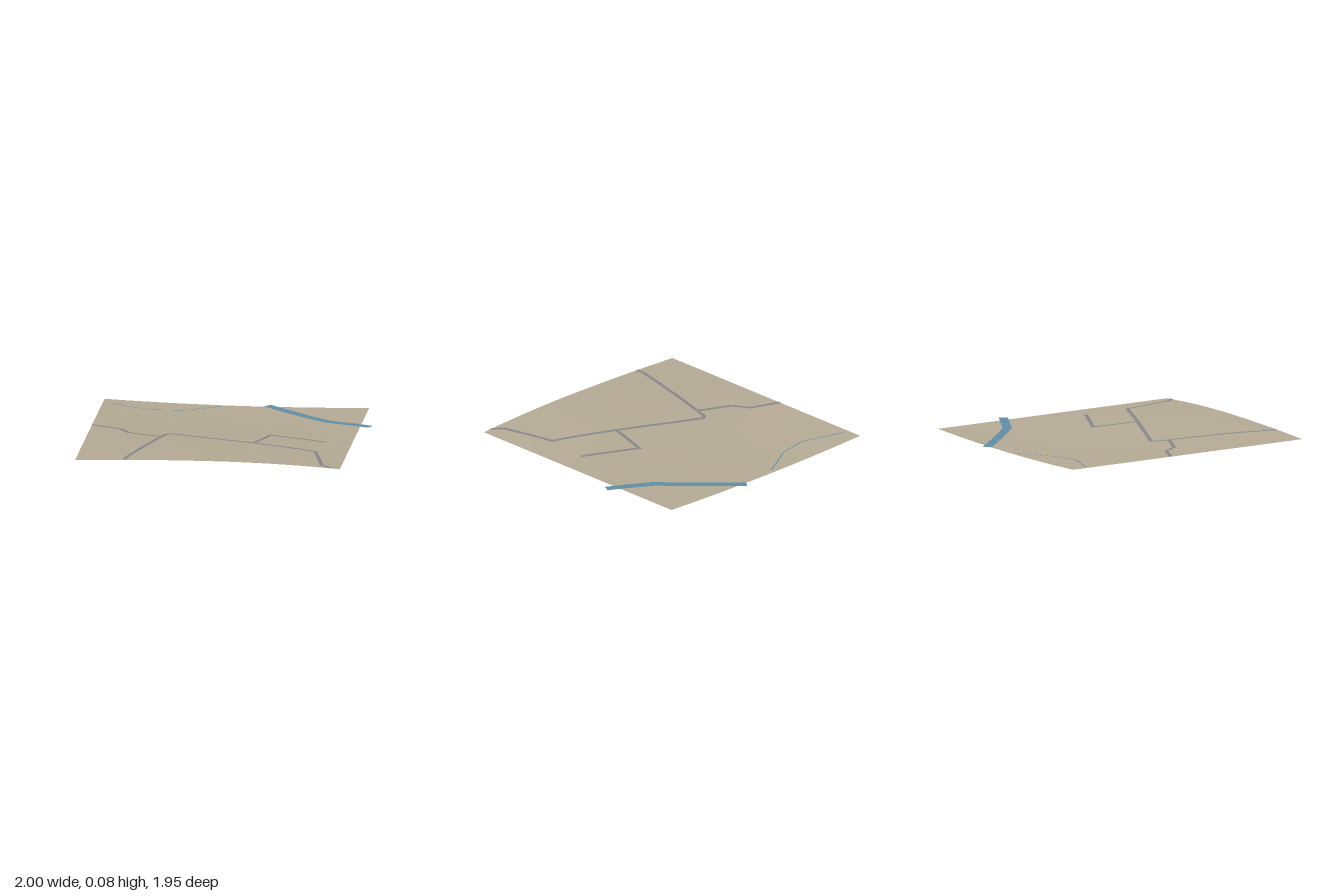
import * as THREE from 'three';

const X0 = -1, X1 = 0.91, Z0 = -0.93, Z1 = 0.976;

// Ground height: a low rise along the front, a shallow valley towards the back
function height(x, z) {
  const t = (z - Z0) / (Z1 - Z0);
  const middle = 0.085 * THREE.MathUtils.smoothstep(z, -0.75, 1);
  const side = (x < 0 ? 0.025 : 0.012) + 0.04 * t;
  const centre = 0.1 * (1 - t);
  const w = Math.min(1, Math.abs(x - centre) / (x < centre ? centre - X0 : X1 - centre));
  return THREE.MathUtils.lerp(middle, side, w * w);
}

function material(color) {
  return new THREE.MeshStandardMaterial({ color, side: THREE.DoubleSide });
}

function terrain() {
  const geo = new THREE.PlaneGeometry(X1 - X0, Z1 - Z0, 48, 48);
  geo.rotateX(-Math.PI / 2);
  geo.translate((X0 + X1) / 2, 0, (Z0 + Z1) / 2);
  const p = geo.attributes.position;
  for (let i = 0; i < p.count; i++) p.setY(i, height(p.getX(i), p.getZ(i)));
  geo.computeVertexNormals();
  const mesh = new THREE.Mesh(geo, material(0xb3a994));
  mesh.name = 'terrain';
  return mesh;
}

// Flat mitred strip along [x, z] points, draped just above the ground
function ribbon(name, points, width, color, lift, trimmed) {
  const pts = points.map(([x, z]) => new THREE.Vector2(x, z));
  const normals = pts.slice(1).map((p, i) => {
    const d = p.clone().sub(pts[i]).normalize();
    return new THREE.Vector2(-d.y, d.x);
  });
  // Sideways vector at each point; ends on the border are cut along it
  const across = pts.map((p, i) => {
    const a = normals[Math.max(i - 1, 0)];
    const b = normals[Math.min(i, normals.length - 1)];
    let m = a.clone().add(b).normalize();
    if (trimmed && p.y >= Z1) m = new THREE.Vector2(1, 0);
    if (trimmed && p.x <= X0) m = new THREE.Vector2(0, 1);
    return m.multiplyScalar(width / 2 / m.dot(a));
  });
  const position = [], index = [];
  for (let i = 0; i < pts.length - 1; i++) {
    const steps = Math.max(1, Math.ceil(pts[i].distanceTo(pts[i + 1]) / 0.03));
    for (let k = i ? 1 : 0; k <= steps; k++) {
      const c = pts[i].clone().lerp(pts[i + 1], k / steps);
      const m = across[i].clone().lerp(across[i + 1], k / steps);
      for (const s of [-1, 1]) {
        const x = c.x + s * m.x, z = c.y + s * m.y;
        position.push(x, height(x, z) + lift, z);
      }
    }
  }
  for (let j = 0; j < position.length / 3 - 2; j += 2) {
    index.push(j, j + 1, j + 2, j + 1, j + 3, j + 2);
  }
  const geo = new THREE.BufferGeometry();
  geo.setAttribute('position', new THREE.Float32BufferAttribute(position, 3));
  geo.setIndex(index);
  geo.computeVertexNormals();
  const mesh = new THREE.Mesh(geo, material(color));
  mesh.name = name;
  return mesh;
}

export function createModel() {
  const model = new THREE.Group();
  model.name = 'landscape';
  model.add(terrain());

  // Roads
  const roads = {
    mainRoad: [[-0.635, Z1], [-0.643, 0.928], [-0.463, 0.184], [-0.44, 0.094], [-0.41, 0.067],
      [0.217, 0.324], [0.682, 0.511], [0.773, 0.907], [0.842, Z1]],
    leftBranchRoad: [[X0, -0.115], [-0.783, -0.03], [-0.71, 0.083], [-0.463, 0.184]],
    rightBranchRoad: [[0.217, 0.324], [0.302, 0.005], [0.716, 0.184]],
  };
  for (const [name, points] of Object.entries(roads)) {
    model.add(ribbon(name, points, 0.028, 0x86868a, 0.002, true));
  }

  // Water
  const water = 0x5f8da4;
  model.add(ribbon('river', [[0.172, -0.954], [0.66, -0.5], [0.985, -0.342]], 0.066, water, 0.002));
  model.add(ribbon('stream',
    [[-0.96, -0.805], [-0.648, -0.695], [-0.42, -0.73], [-0.136, -0.896]], 0.009, water, 0.002));
  return model;
}
